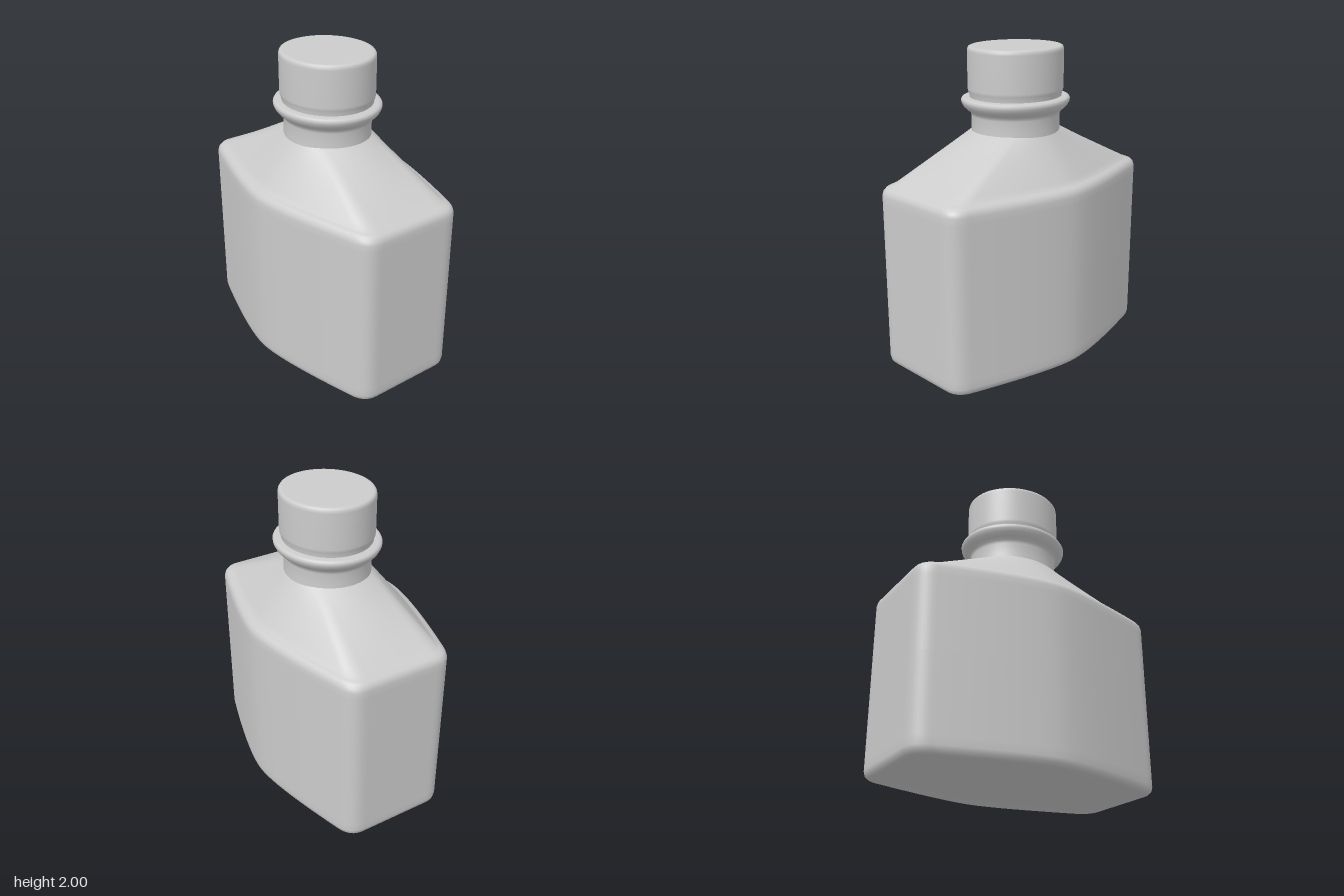
import * as THREE from 'three';

const grey = new THREE.MeshStandardMaterial({ color: 0xcccccc });
const FLAT = 0.92; // neck and cap are slightly oval
const HALF_X = 0.855, HALF_Z = 0.543;

const bez = (p, c, q, t) => (1 - t) * (1 - t) * p + 2 * t * (1 - t) * c + t * t * q;

// One quarter of the body outline: flat side, round corner, bowed front
function quarter(deg) {
  if (deg <= 36) return [HALF_X, 0.25 * deg / 36];
  if (deg <= 52) {
    const t = (deg - 36) / 16;
    return [bez(HALF_X, HALF_X, 0.75, t), bez(0.25, 0.345, 0.375, t)];
  }
  const t = (deg - 52) / 38;
  return [bez(0.75, 0.2, 0, t), bez(0.375, HALF_Z, HALF_Z, t)];
}

// Full outline, mirrored into four quarters
function outline(deg) {
  const q = Math.floor(deg / 90) % 4, r = deg % 90;
  const [x, z] = quarter(q % 2 ? 90 - r : r);
  return [q === 1 || q === 2 ? -x : x, q >= 2 ? -z : z];
}

// Each ring blends the inset outline towards an ellipse
function loft(rings, segments) {
  const pos = [], index = [];
  rings.forEach(({ y, inset = 0, blend = 0, rx = 0, rz = 0 }) => {
    for (let j = 0; j < segments; j++) {
      const deg = j * 360 / segments, a = deg * Math.PI / 180;
      const [x, z] = outline(deg);
      pos.push(
        THREE.MathUtils.lerp(x * (1 - inset / HALF_X), rx * Math.cos(a), blend), y,
        THREE.MathUtils.lerp(z * (1 - inset / HALF_Z), rz * Math.sin(a), blend));
    }
  });
  for (let i = 0; i < rings.length - 1; i++) {
    for (let j = 0; j < segments; j++) {
      const k = (j + 1) % segments;
      const a = i * segments + j, b = i * segments + k;
      index.push(a, a + segments, b + segments, a, b + segments, b);
    }
  }
  const g = new THREE.BufferGeometry();
  g.setAttribute('position', new THREE.Float32BufferAttribute(pos, 3));
  g.setIndex(index);
  g.computeVertexNormals();
  return g;
}

function addMesh(group, name, geometry) {
  const mesh = new THREE.Mesh(geometry, grey);
  mesh.name = name;
  group.add(mesh);
  return mesh;
}

function addLathe(group, name, profile) {
  const points = profile.map(([r, y]) => new THREE.Vector2(r, y));
  addMesh(group, name, new THREE.LatheGeometry(points, 64)).scale.z = FLAT;
}

export function createModel() {
  const model = new THREE.Group();
  model.name = 'bottle';

  // Body: hollowed base, rounded rims, straight walls, sloping shoulders
  const rings = [
    { y: 0.085, blend: 1, rx: 0.001, rz: 0.001 },
    { y: 0.08, blend: 1, rx: 0.2, rz: 0.12 },
    { y: 0.065, blend: 1, rx: 0.32, rz: 0.2 },
    { y: 0.045, blend: 0.7, rx: 0.4, rz: 0.26, inset: 0.1 },
    { y: 0.022, blend: 0.3, rx: 0.5, rz: 0.34, inset: 0.09 },
    { y: 0.006, inset: 0.065 }, { y: 0, inset: 0.045 },
    { y: 0.006, inset: 0.022 }, { y: 0.022, inset: 0.006 },
    { y: 0.05 }, { y: 0.1 }, { y: 0.6 }, { y: 1.09 }, { y: 1.135 },
    { y: 1.16, inset: 0.007 }, { y: 1.178, inset: 0.022 }, { y: 1.188, inset: 0.045 },
  ];
  const STEPS = 12;
  for (let i = 0; i <= STEPS; i++) {
    const t = i / STEPS;
    rings.push({ y: 1.195 + 0.285 * t, inset: 0.063, blend: t, rx: 0.285, rz: 0.258 });
  }
  addMesh(model, 'body', loft(rings, 180));

  // Neck with a bulging collar
  addLathe(model, 'neck', [[0.295, 1.45], [0.292, 1.5], [0.292, 1.57], [0.3, 1.592], [0.32, 1.607]]);
  addLathe(model, 'collar', [
    [0.305, 1.598], [0.325, 1.61], [0.345, 1.63], [0.357, 1.652],
    [0.359, 1.668], [0.352, 1.68], [0.335, 1.685], [0.3, 1.687],
  ]);

  // Screw cap with a softened top edge
  addLathe(model, 'cap', [
    [0.303, 1.67], [0.305, 1.705], [0.313, 1.722], [0.315, 1.74], [0.315, 1.97],
    [0.313, 1.986], [0.306, 1.996], [0.295, 2], [0.28, 2], [0, 2],
  ]);
  return model;
}
